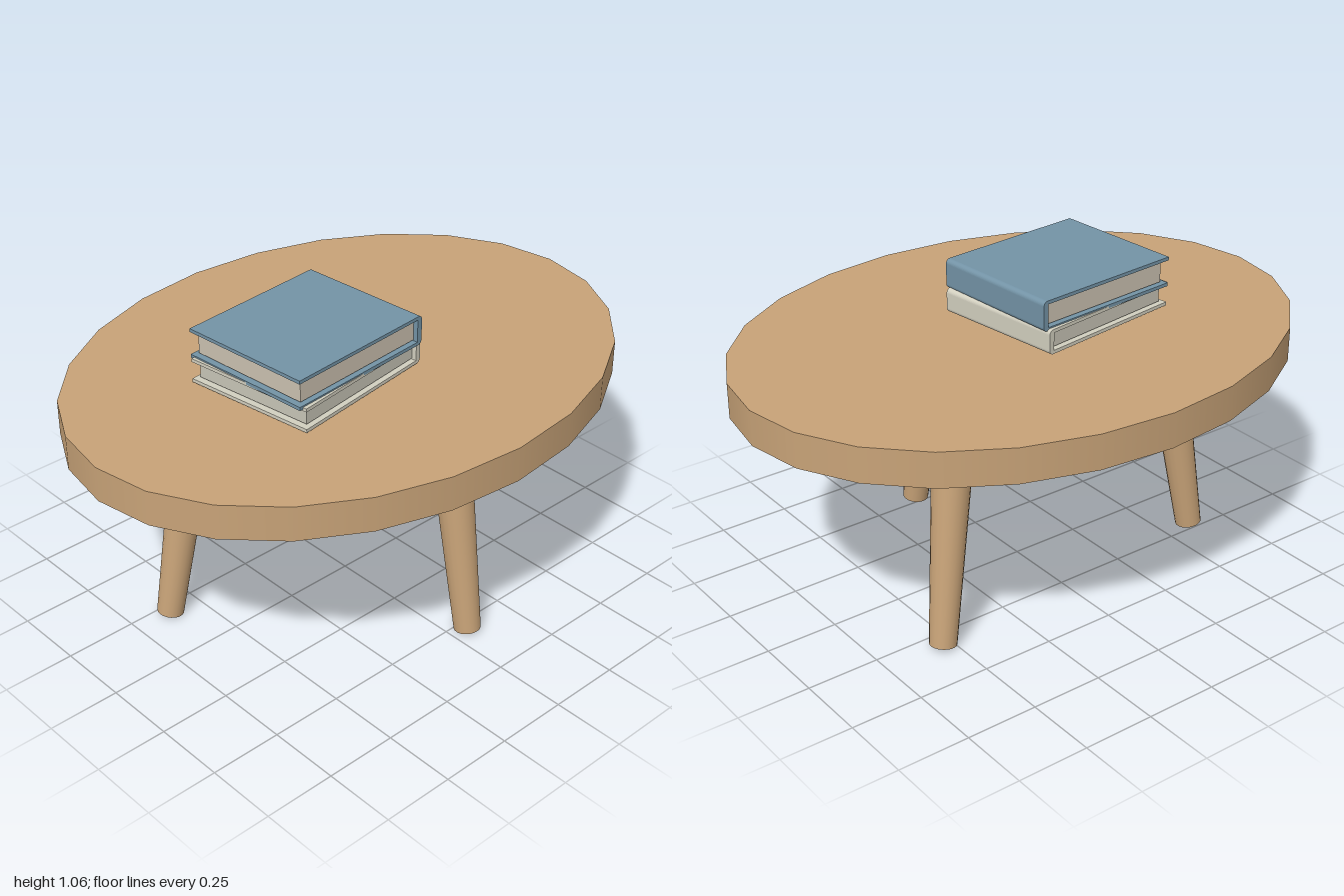
import * as THREE from 'three';

const mat = (name, color) => {
  const m = new THREE.MeshStandardMaterial({ color });
  m.name = name;
  return m;
};

export function createModel() {
  const wood = mat('wood', 0xc8a378);
  const blue = mat('blueCover', 0x7393a6);
  const cream = mat('creamCover', 0xd2cfbf);
  const warmPaper = mat('warmPaper', 0xcbc1b0);
  const greyPaper = mat('greyPaper', 0xc8c5b7);

  const model = new THREE.Group();
  model.name = 'tableWithBooks';

  // Oval tabletop
  const top = new THREE.Mesh(new THREE.CylinderGeometry(1, 1, 0.12, 24), wood);
  top.name = 'tabletop';
  top.scale.z = 0.776;
  top.position.y = 0.805;
  model.add(top);

  // Splayed, tapered leg between a foot point and a top point
  const addLeg = (name, foot, head) => {
    const a = new THREE.Vector3(...foot), b = new THREE.Vector3(...head);
    const dir = b.clone().sub(a);
    const leg = new THREE.Mesh(new THREE.CylinderGeometry(0.07, 0.046, dir.length(), 20), wood);
    leg.name = name;
    leg.position.copy(a).add(b).multiplyScalar(0.5);
    leg.quaternion.setFromUnitVectors(new THREE.Vector3(0, 1, 0), dir.normalize());
    model.add(leg);
  };
  addLeg('frontLeg', [0.065, 0.006, 0.535], [0.052, 0.75, 0.43]);
  addLeg('backLeftLeg', [0.535, 0.006, -0.312], [0.433, 0.75, -0.25]);
  addLeg('backRightLeg', [-0.612, 0.006, -0.212], [-0.497, 0.75, -0.17]);

  // Book: a C-shaped cover with a rounded spine on +x, wrapped round a page block
  const addBook = (name, y, height, angle, cover, paper) => {
    const w = 0.28, depth = 0.476, t = 0.012, r = 0.016;
    const s = new THREE.Shape();
    s.moveTo(-w, 0);
    s.lineTo(w - r, 0);
    s.absarc(w - r, r, r, -Math.PI / 2, 0, false);
    s.lineTo(w, height - r);
    s.absarc(w - r, height - r, r, 0, Math.PI / 2, false);
    s.lineTo(-w, height);
    s.lineTo(-w, height - t);
    s.lineTo(w - 0.02, height - t);
    s.lineTo(w - 0.02, t);
    s.lineTo(-w, t);
    s.closePath();
    const coverGeo = new THREE.ExtrudeGeometry(s, { depth, bevelEnabled: false, curveSegments: 5 });
    coverGeo.translate(0, 0, -depth / 2);
    const shell = new THREE.Mesh(coverGeo, cover);
    shell.name = 'cover';

    const pages = new THREE.Mesh(
      new THREE.BoxGeometry(2 * w - 0.038, height - 2 * t - 0.006, depth - 0.034), paper);
    pages.name = 'pages';
    pages.position.set(0.001, height / 2, 0);

    const book = new THREE.Group();
    book.name = name;
    book.add(shell, pages);
    book.position.set(-0.181, y, 0.018);
    book.rotation.y = angle;
    model.add(book);
  };
  addBook('lowerBook', 0.874, 0.085, 0.135, cream, greyPaper);
  addBook('upperBook', 0.952, 0.104, 0.082, blue, warmPaper);

  return model;
}
